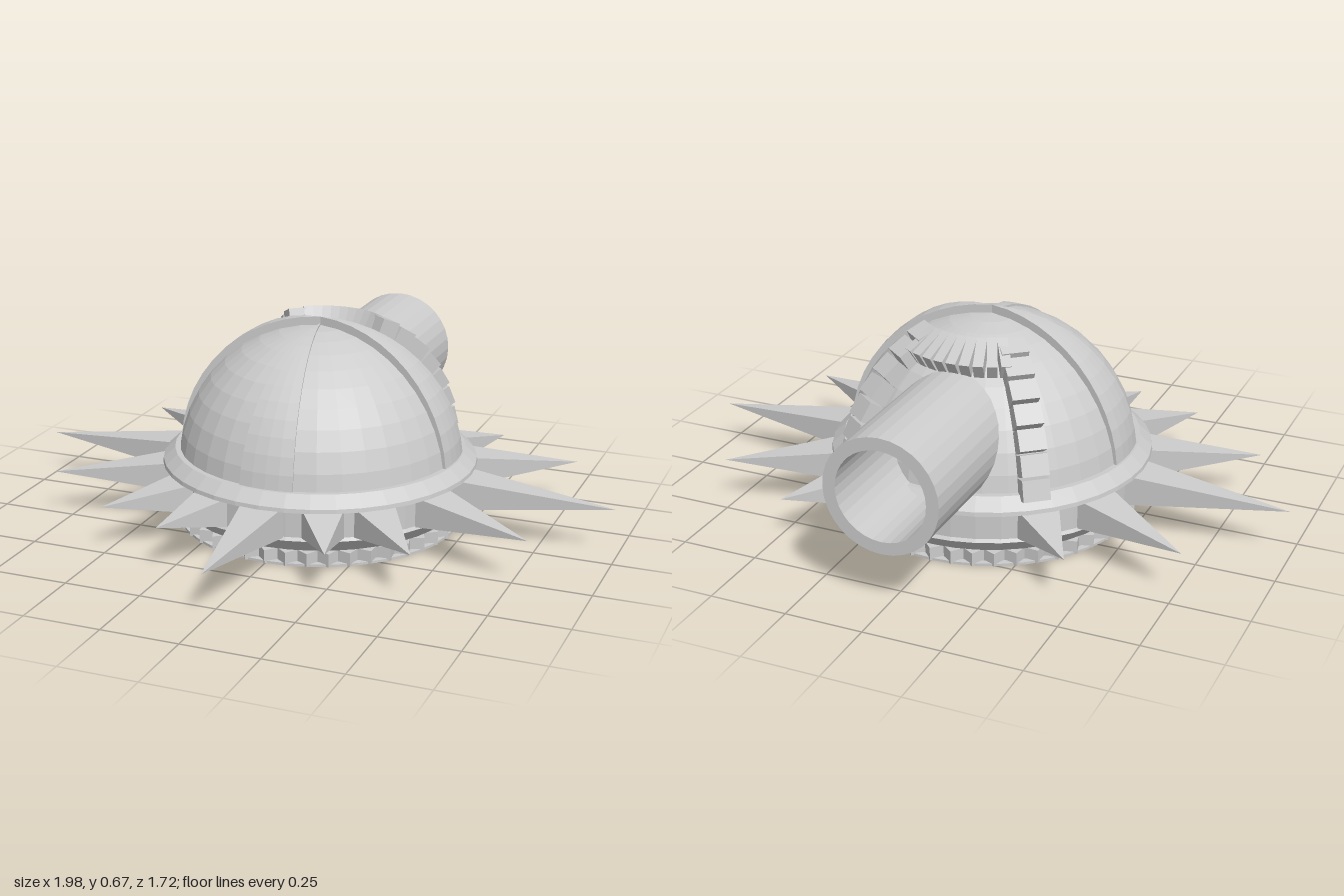
import * as THREE from 'three';

const CZ = -0.08; // z of the dome axis
const CY = 0.18; // height of the dome centre
const R = 0.463; // dome radius
const deg = THREE.MathUtils.degToRad;

const solid = new THREE.MeshStandardMaterial({ color: 0xcccccc, flatShading: true });
const shell = new THREE.MeshStandardMaterial({ color: 0xcccccc, flatShading: true, side: THREE.DoubleSide });

function add(parent, name, geometry, material = solid) {
  const mesh = new THREE.Mesh(geometry, material);
  mesh.name = name;
  parent.add(mesh);
  return mesh;
}

const lathe = (pts, segs = 40, start = 0, length = Math.PI * 2) =>
  new THREE.LatheGeometry(pts.map(([x, y]) => new THREE.Vector2(x, y)), segs, start, length);

// Points of an arc from the dome rim up to the pole
function arc(radius, cy, bottom = 0.235, n = 12) {
  const start = Math.acos((bottom - cy) / radius);
  return Array.from({ length: n + 1 }, (_, i) => {
    const t = start * (1 - i / n);
    return [radius * Math.sin(t), cy + radius * Math.cos(t)];
  });
}

// Raised wedge-shaped strip running from rim to pole
function domeStrip(parent, name, phi, radius, cy) {
  const strip = new THREE.Group();
  strip.name = name;
  parent.add(strip);
  const half = deg(11);
  const outer = arc(radius, cy);
  add(strip, name + 'Skin', lathe(outer, 4, phi - half, half * 2), shell);
  const inner = arc(R - 0.02, CY).reverse();
  const profile = new THREE.Shape([...outer, ...inner].map(([x, y]) => new THREE.Vector2(x, y)));
  for (const side of [-1, 1]) {
    const wall = add(strip, name + 'Edge', new THREE.ShapeGeometry(profile), shell);
    wall.rotation.y = phi + side * half - Math.PI / 2;
  }
}

// Block lying on the dome surface at a given azimuth and angle from the pole
function domeBlock(parent, name, phi, theta, width, length, tilt = 0) {
  const block = add(parent, name, new THREE.BoxGeometry(width, 0.1, length));
  block.position.setFromSphericalCoords(R, theta, phi);
  block.position.y += CY;
  block.rotation.set(theta + tilt, phi, 0, 'YXZ');
}

// Four-sided spike pointing outwards from the band
function spike(parent, phi, tip) {
  const base = 0.455;
  const g = new THREE.ConeGeometry(Math.SQRT2, tip - base, 4);
  g.rotateY(Math.PI / 4);
  g.scale(0.072, 1, 0.052);
  g.rotateX(Math.PI / 2);
  g.translate(0, 0, (tip + base) / 2);
  const mesh = add(parent, 'spike', g);
  mesh.position.y = 0.15;
  mesh.rotation.y = phi;
}

export function createModel() {
  const model = new THREE.Group();
  model.name = 'spikedDome';
  const body = new THREE.Group();
  body.name = 'body';
  body.position.z = CZ;
  model.add(body);

  // Base ring with a central hole and a toothed edge
  add(body, 'basePlate', lathe([[0.23, 0.045], [0.23, 0], [0.466, 0], [0.466, 0.008], [0.445, 0.008]]), shell);
  const teeth = 44;
  const outline = new THREE.Shape();
  for (let i = 0; i < teeth * 2; i++) {
    const a = (i / teeth) * Math.PI;
    const r = i % 2 ? 0.44 : 0.472;
    outline[i ? 'lineTo' : 'moveTo'](r * Math.cos(a), r * Math.sin(a));
  }
  outline.closePath();
  outline.holes.push(new THREE.Path().absarc(0, 0, 0.23, 0, Math.PI * 2, true));
  const toothed = new THREE.ExtrudeGeometry(outline, { depth: 0.044, bevelEnabled: false, curveSegments: 20 });
  toothed.rotateX(-Math.PI / 2);
  toothed.translate(0, 0.001, 0);
  add(body, 'toothedRing', toothed);

  // Band carrying the spikes, with an overhanging rim
  add(body, 'band', lathe([
    [0.42, 0.045], [0.455, 0.05], [0.495, 0.095], [0.488, 0.105], [0.488, 0.195],
    [0.515, 0.195], [0.513, 0.208], [0.475, 0.243], [0.44, 0.243],
  ]), shell);

  // Dome and its raised strips
  add(body, 'dome', lathe(arc(R, CY, 0.23, 10), 36), shell);
  domeStrip(body, 'frontStrip', 0, 0.469, CY);
  domeStrip(body, 'leftStrip', Math.PI / 2, 0.47, 0.2);
  domeStrip(body, 'rightStrip', -Math.PI / 2, 0.47, 0.2);

  // Spikes: [x, z] of each tip relative to the dome axis
  spike(body, 0, 0.93);
  for (const [x, z] of [[0.275, 0.665], [0.51, 0.575], [0.8, 0.345], [0.99, 0], [0.77, -0.38], [0.47, -0.55]]) {
    for (const side of [-1, 1]) spike(body, Math.atan2(side * x, z), Math.hypot(x, z));
  }

  // Arch of blocks around the tube: a curved top and two legs
  const arch = new THREE.Group();
  arch.name = 'blockArch';
  body.add(arch);
  for (let i = -4; i <= 4; i++) {
    domeBlock(arch, 'archBlock', Math.PI + deg(i * 8), deg(31), 0.032, 0.11);
  }
  for (const side of [-1, 1]) {
    for (let i = 0; i < 7; i++) {
      domeBlock(arch, 'legBlock', Math.PI + side * deg(39), deg(29 + i * 8.6), 0.085, 0.066, deg(-6));
    }
  }

  // Hollow tube leaving the back of the dome
  const tube = lathe([[0.145, 0.1], [0.185, 0.1], [0.185, 0.785], [0.145, 0.785], [0.145, 0.1]], 32);
  tube.rotateX(-Math.PI / 2);
  add(body, 'tube', tube, shell).position.y = 0.368;

  return model;
}
